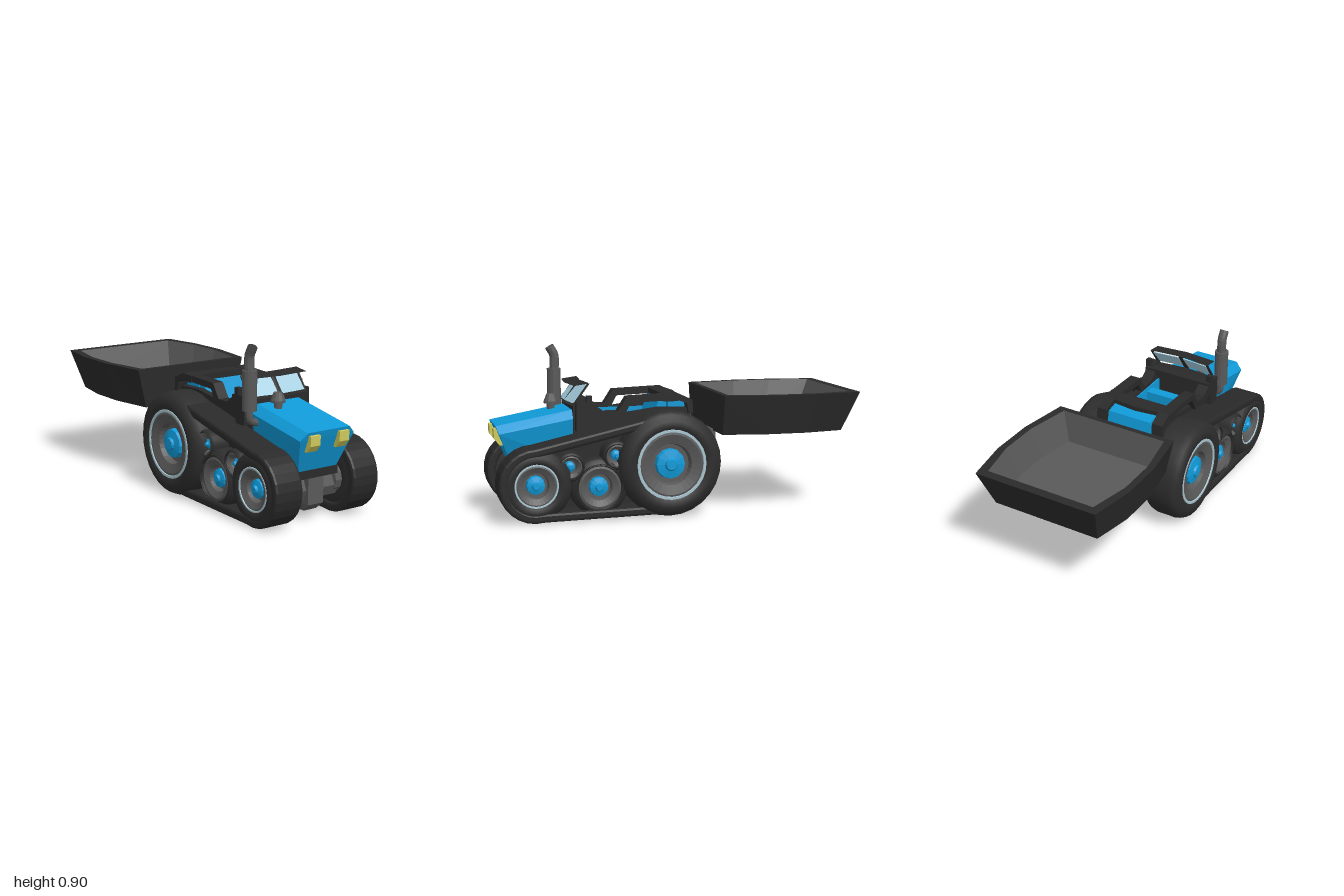
import * as THREE from 'three';
import { ConvexGeometry } from 'three/addons/geometries/ConvexGeometry.js';

const mat = (color, flatShading = true) =>
  new THREE.MeshStandardMaterial({ color, flatShading, side: THREE.DoubleSide });
const BLACK = mat(0x2a2a2a), RUBBER = mat(0x2d2d2d, false), GREY = mat(0x595959), BLUE = mat(0x109ad8);
const GLASS = mat(0xa9d3e4), YELLOW = mat(0xd2cb5e), SILVER = mat(0xa9c4cf);

function add(parent, name, geo, material, x = 0, y = 0, z = 0) {
  const m = new THREE.Mesh(geo, material);
  m.name = name;
  m.position.set(x, y, z);
  parent.add(m);
  return m;
}
// box given by its min and max corners
function box(parent, name, material, x0, x1, y0, y1, z0, z1) {
  return add(parent, name, new THREE.BoxGeometry(x1 - x0, y1 - y0, z1 - z0), material,
    (x0 + x1) / 2, (y0 + y1) / 2, (z0 + z1) / 2);
}
const hull = (parent, name, material, pts) =>
  add(parent, name, new ConvexGeometry(pts.map(p => new THREE.Vector3(...p))), material);

// lathe turned about the x axis; profile is [radius, x]
function turned(parent, name, material, profile, seg = 28) {
  const g = new THREE.LatheGeometry(profile.map(p => new THREE.Vector2(...p)), seg);
  return add(parent, name, g.rotateZ(-Math.PI / 2), material);
}
// side profile [z, y] extruded across x
function sideExtrude(parent, name, material, shape, x0, x1, bevel = 0) {
  const g = new THREE.ExtrudeGeometry(shape, {
    depth: x1 - x0 - 2 * bevel, bevelEnabled: bevel > 0, bevelThickness: bevel,
    bevelSize: bevel, bevelOffset: -bevel, bevelSegments: 2, curveSegments: 16 });
  return add(parent, name, g.rotateY(-Math.PI / 2), material, x1 - bevel);
}
const poly = pts => new THREE.Shape(pts.map(p => new THREE.Vector2(...p)));

// points of a belt running round two pulleys [z, y, r], shrunk by inset
function beltPoints(front, rear, inset) {
  const dz = front[0] - rear[0], dy = front[1] - rear[1];
  const base = Math.atan2(dy, dz);
  const a = Math.acos((front[2] - rear[2]) / Math.hypot(dz, dy));
  const pts = [];
  const arc = ([z, y, r], from, to) => {
    for (let i = 0; i <= 14; i++) {
      const t = from + (to - from) * i / 14;
      pts.push([z + Math.cos(t) * (r - inset), y + Math.sin(t) * (r - inset)]);
    }
  };
  arc(front, base - a, base + a);
  arc(rear, base + a, base - a + 2 * Math.PI);
  return pts;
}

// dished wheel face: grey dish, silver ring, recessed blue hub; x = 0 is the outer face
function wheelFace(parent, r, ring) {
  turned(parent, 'rimDish', GREY, [[r, 0], [r * 0.9, 0.004], [r * 0.62, -0.012], [r * 0.58, -0.05], [0, -0.055]]);
  if (ring) turned(parent, 'rimRing', SILVER, [[r * 1.06, 0], [r * 1.04, 0.007], [r * 0.97, 0.007], [r * 0.95, 0]]);
  turned(parent, 'hub', BLUE, [[r * 0.46, -0.055], [r * 0.43, -0.02], [r * 0.2, -0.012], [r * 0.16, 0], [0, 0]], 12);
}

function trackSide() {
  const side = new THREE.Group();
  const front = [0.8, 0.2, 0.2], rear = [0.075, 0.285, 0.275];
  const belt = poly(beltPoints(front, rear, 0));
  belt.holes.push(new THREE.Path(beltPoints(front, rear, 0.05).map(p => new THREE.Vector2(...p))));
  sideExtrude(side, 'trackBelt', BLACK, belt, 0.165, 0.335, 0.014);
  sideExtrude(side, 'trackInnerPlate', BLACK, poly(beltPoints(front, rear, 0.045)), 0.185, 0.215);

  // wheel: z, y, outer radius, face radius, inner x, outer x, silver ring
  const wheels = [
    ['rearWheel', 0.075, 0.287, 0.285, 0.182, 0.152, 0.366, true],
    ['frontWheel', 0.8, 0.2, 0.195, 0.112, 0.18, 0.337, true],
    ['middleWheel', 0.46, 0.175, 0.155, 0.115, 0.18, 0.325, false],
    ['frontRoller', 0.615, 0.29, 0.078, 0.06, 0.2, 0.325, false],
    ['rearRoller', 0.365, 0.34, 0.078, 0.06, 0.2, 0.325, false],
  ];
  for (const [name, z, y, r, face, x0, x1, ring] of wheels) {
    const w = new THREE.Group();
    w.name = name;
    w.position.set(0, y, z);
    const c = Math.min(0.05, r * 0.22);
    turned(w, name + 'Tyre', RUBBER, [[face * 0.9, x0], [r - c, x0], [r - c * 0.3, x0 + c * 0.35], [r, x0 + c],
      [r, x1 - c], [r - c * 0.3, x1 - c * 0.35], [r - c, x1 - 0.002], [face * 1.12, x1], [face, x1 - 0.015]]);
    const dish = new THREE.Group();
    dish.position.x = x1 - 0.012;
    wheelFace(dish, face, ring);
    w.add(dish);
    side.add(w);
  }
  // stepped inner hubs where the axles meet the wheels
  for (const [z, y, r] of [[0.8, 0.19, 0.085], [0.46, 0.18, 0.1], [0.075, 0.285, 0.14]]) {
    turned(side, 'innerHub', GREY, [[0, 0.1], [r * 0.72, 0.1], [r * 0.72, 0.14], [r, 0.145], [r, 0.2], [0, 0.2]], 12)
      .position.set(0, y, z);
  }
  return side;
}

function buildBody(g) {
  // bonnet with chamfered top corners and raked nose
  const bonnet = [];
  for (const s of [-1, 1]) {
    const X = w => 0.005 + s * w;
    bonnet.push([X(0.135), 0.5, 0.985], [X(0.175), 0.46, 0.972], [X(0.125), 0.28, 0.9],
      [X(0.135), 0.575, 0.57], [X(0.175), 0.53, 0.57], [X(0.135), 0.28, 0.57]);
    hull(g, 'headlight', YELLOW, [X(0.062), X(0.125)].flatMap(x => [
      [x, 0.485, 0.965], [x, 0.483, 0.995], [x, 0.43, 0.993], [x, 0.395, 0.965], [x, 0.395, 0.93]]));
    // windscreen panes lean back and meet at a shallow ridge
    const pane = (name, m, a, b, y0, y1, d) => hull(g, name, m, [a, b].flatMap(w => [0, 0.008].map(t => [w, t])
      .flatMap(([w2, t]) => [[X(w2), y0, 0.588 + d + t - w2 * 0.1], [X(w2), y1, 0.508 + d + t - w2 * 0.1]])));
    pane('windscreenPane', GLASS, 0.014, 0.172, 0.614, 0.708, 0);
    pane('screenTopFrame', BLACK, 0, 0.188, 0.708, 0.719, -0.004);
    pane('screenBottomFrame', BLACK, 0, 0.188, 0.6, 0.614, 0.002);
    pane('screenCentrePost', BLACK, 0, 0.014, 0.605, 0.715, 0);
    pane('screenSidePost', BLACK, 0.172, 0.188, 0.605, 0.715, 0);
    box(g, 'cowlPost', BLACK, X(0.195) - 0.02, X(0.195) + 0.02, 0.465, 0.62, 0.49, 0.565);
    box(g, 'postBracket', BLACK, X(0.2) - 0.014, X(0.2) + 0.014, 0.6, 0.655, 0.48, 0.51);
  }
  hull(g, 'bonnet', BLUE, bonnet);
  box(g, 'bonnetBase', BLACK, -0.13, 0.14, 0.235, 0.285, 0.45, 0.9);
  box(g, 'cowl', BLACK, -0.17, 0.18, 0.3, 0.6, 0.49, 0.575);
  box(g, 'dashTop', BLACK, -0.21, 0.21, 0.575, 0.615, 0.46, 0.51);

  // open cab tub, seat and dash
  box(g, 'tubFloor', BLACK, -0.135, 0.135, 0.29, 0.36, -0.06, 0.52);
  box(g, 'dash', BLUE, -0.17, 0.175, 0.46, 0.53, 0.34, 0.4);
  box(g, 'footwell', BLACK, -0.14, 0.14, 0.35, 0.47, 0.36, 0.5);
  box(g, 'seat', BLUE, -0.13, 0.135, 0.35, 0.42, 0.13, 0.35);
  sideExtrude(g, 'seatBack', BLUE, poly([[0.17, 0.4], [0.09, 0.615], [0.05, 0.615], [0.05, 0.4]]), -0.13, 0.135);
  sideExtrude(g, 'rearPanel', BLUE, poly([[0.04, 0.635], [-0.075, 0.612], [-0.09, 0.535], [-0.06, 0.42], [0.04, 0.4]]), -0.13, 0.135);
  hull(g, 'rearCrossbar', BLACK, [0.61, 0.648].flatMap(y => [
    [-0.21, y, 0.08], [0.21, y, 0.08], [-0.21, y, 0.0], [0.21, y, 0.0], [0, y, -0.02]]));
  // side rails with the raised hoop over the rear wheels
  const hoop = poly([[0.52, 0.61], [0.47, 0.61], [0.41, 0.565], [0.335, 0.565], [0.285, 0.642], [0, 0.652],
    [-0.08, 0.615], [-0.085, 0.54], [-0.06, 0.535], [-0.05, 0.595], [0.005, 0.617], [0.265, 0.608], [0.31, 0.525],
    [0.42, 0.525], [0.52, 0.55]]);
  const fender = poly([[0.52, 0.54], [0.3, 0.55], [0.1, 0.575], [-0.06, 0.57], [-0.08, 0.5], [0.3, 0.48], [0.52, 0.46]]);
  for (const s of [-1, 1]) {
    sideExtrude(g, 'sideHoop', BLACK, hoop, s * 0.175 - 0.032, s * 0.175 + 0.032);
    sideExtrude(g, 'fender', BLACK, fender, s * 0.16 - 0.02, s * 0.16 + 0.02);
    box(g, 'tubWall', BLUE, s * 0.137 - 0.005, s * 0.137 + 0.005, 0.34, 0.545, 0, 0.5);
  }
}

function buildExhaust(g) {
  const V = (...p) => new THREE.Vector3(...p);
  const elbow = new THREE.CatmullRomCurve3([V(-0.14, 0.49, 0.61), V(-0.18, 0.49, 0.61), V(-0.205, 0.505, 0.61), V(-0.21, 0.56, 0.61)]);
  add(g, 'exhaustElbow', new THREE.TubeGeometry(elbow, 10, 0.02, 10), GREY);
  add(g, 'muffler', new THREE.CylinderGeometry(0.039, 0.039, 0.21, 14), GREY, -0.21, 0.66, 0.61);
  const stack = new THREE.CatmullRomCurve3([V(-0.21, 0.75, 0.608), V(-0.21, 0.82, 0.606), V(-0.21, 0.845, 0.61), V(-0.21, 0.888, 0.634)]);
  add(g, 'exhaustStack', new THREE.TubeGeometry(stack, 10, 0.026, 10), GREY);
  add(g, 'airIntake', new THREE.LatheGeometry([[0.022, 0.555], [0.022, 0.588], [0.039, 0.588], [0.039, 0.6], [0.024, 0.64], [0, 0.64]]
    .map(p => new THREE.Vector2(...p)), 12), GREY, -0.06, 0, 0.655);
}

function buildUndercarriage(g) {
  // axle tubes with central gear housings
  for (const [z, y, r] of [[0.8, 0.165, 0.075], [0.46, 0.18, 0.085], [0.075, 0.285, 0.1]]) {
    turned(g, 'axle', GREY, [[0, -0.17], [r, -0.17], [r, 0.17], [0, 0.17]], 8).position.set(0, y, z);
    const d = y - 0.165;
    hull(g, 'gearHousing', GREY, [z - 0.1, z + 0.09].flatMap(w => [
      [-0.045, 0.24 + d, w], [0.055, 0.24 + d, w], [-0.045, 0.09 + d, w], [0.055, 0.09 + d, w],
      [-0.035, 0.05 + d, (w + z) / 2], [0.045, 0.05 + d, (w + z) / 2]]));
  }
  box(g, 'chassisBeam', GREY, -0.06, 0.06, 0.2, 0.32, -0.02, 0.85);
  // rear hitch
  box(g, 'hitchBar', BLACK, -0.15, 0.15, 0.34, 0.4, -0.14, 0);
  for (let i = 0; i < 5; i++) {
    const x = -0.105 + i * 0.055;
    sideExtrude(g, 'hitchArm', GREY, poly([[0, 0.47], [-0.1, 0.47], [-0.16, 0.44], [-0.235, 0.44], [-0.235, 0.38], [-0.14, 0.38], [0, 0.4]]),
      x - 0.017, x + 0.017);
  }
}

// strip surface through matching rings of points, optionally closed by a last cap
function loft(rings, cap) {
  const pos = [], n = rings[0].length;
  for (let r = 0; r + 1 < rings.length; r++) {
    for (let i = 0; i < n; i++) {
      const j = (i + 1) % n, [a, b, c, d] = [rings[r][i], rings[r][j], rings[r + 1][j], rings[r + 1][i]];
      pos.push(...a, ...b, ...c, ...a, ...c, ...d);
    }
  }
  const last = rings[rings.length - 1];
  if (cap) for (let i = 1; i + 1 < n; i++) pos.push(...last[0], ...last[i], ...last[i + 1]);
  const geo = new THREE.BufferGeometry();
  geo.setAttribute('position', new THREE.Float32BufferAttribute(pos, 3));
  geo.computeVertexNormals();
  return geo;
}

function buildBucket(g) {
  // ring: half width at the ends and in the middle, height, near and far z
  const ring = (endW, midW, y, z0, z1) => {
    const m0 = z0 + (z1 - z0) * 0.36, m1 = z0 + (z1 - z0) * 0.68;
    const half = [[endW, z0], [midW, m0], [midW, m1], [endW, z1]];
    return [...half.map(([w, z]) => [w, y, z]), ...half.reverse().map(([w, z]) => [-w, y, z])];
  };
  const topOut = ring(0.357, 0.4, 0.647, -0.22, -1), topIn = ring(0.315, 0.362, 0.647, -0.25, -0.95);
  add(g, 'bucketShell', loft([topIn, topOut, ring(0.31, 0.352, 0.43, -0.22, -0.91)], true), BLACK);
  add(g, 'bucketInside', loft([topIn, ring(0.275, 0.312, 0.47, -0.27, -0.87)], true), GREY);
}

export function createModel() {
  const model = new THREE.Group();
  const parts = { body: buildBody, exhaust: buildExhaust, undercarriage: buildUndercarriage, bucket: buildBucket };
  for (const [name, build] of Object.entries(parts)) {
    const g = new THREE.Group();
    g.name = name;
    build(g);
    model.add(g);
  }
  for (const s of [-1, 1]) {
    const track = trackSide();
    track.name = s > 0 ? 'leftTrack' : 'rightTrack';
    track.scale.x = s;
    model.add(track);
  }
  return model;
}
